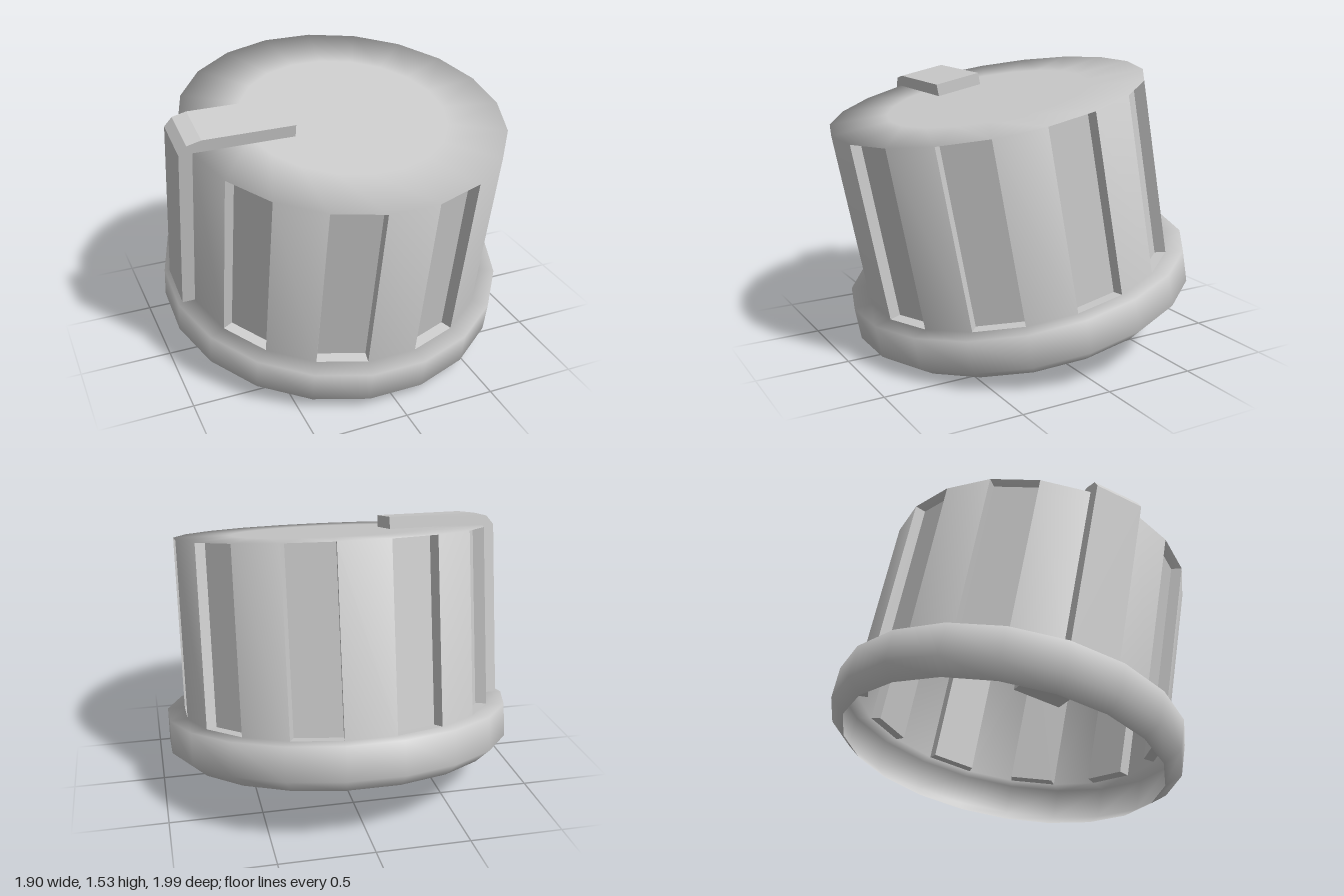
import * as THREE from 'three';

const SIDES = 20;
const STEP = (Math.PI * 2) / SIDES;
const R = 0.866;      // body radius at the corners
const TOP = 0.973;    // body height above the skirt
const DEPTH = 0.06;   // groove depth

const material = new THREE.MeshStandardMaterial({ color: 0xcccccc, side: THREE.DoubleSide });

function named(name, geometry) {
  const mesh = new THREE.Mesh(geometry, material);
  mesh.name = name;
  return mesh;
}

// Skirt, ridged wall and cap turned as one open shell; every other wall panel is left out
function shellGeometry() {
  const profile = [
    [0.88, -0.25], [0.962, -0.18], [0.962, 0], [R, 0], [R, TOP], [0.55, TOP], [0, TOP],
  ].map(([r, y]) => new THREE.Vector2(r, y));
  const geometry = new THREE.LatheGeometry(profile, SIDES, -STEP / 2);
  const rows = profile.length - 1;
  const wallRow = 3;
  const index = Array.from(geometry.index.array).filter((_, n) => {
    const quad = Math.floor(n / 6);
    const panel = Math.floor(quad / rows);
    return !(quad % rows === wallRow && panel % 2 === 1);
  });
  geometry.setIndex(index);
  return geometry;
}

// One groove: recessed floor, two side walls and a ledge at the foot
function grooveGeometry() {
  const corner = (r, side, y) => [r * Math.sin(side * STEP / 2), y, r * Math.cos(side * STEP / 2)];
  const inner = R - DEPTH;
  const quads = [
    [corner(inner, -1, 0), corner(inner, 1, 0), corner(inner, 1, TOP), corner(inner, -1, TOP)],
    [corner(R, -1, 0), corner(inner, -1, 0), corner(inner, -1, TOP), corner(R, -1, TOP)],
    [corner(inner, 1, 0), corner(R, 1, 0), corner(R, 1, TOP), corner(inner, 1, TOP)],
    [corner(R, -1, 0), corner(R, 1, 0), corner(inner, 1, 0), corner(inner, -1, 0)],
  ];
  const points = quads.flatMap(([a, b, c, d]) => [a, b, c, a, c, d]).flat();
  const geometry = new THREE.BufferGeometry();
  geometry.setAttribute('position', new THREE.Float32BufferAttribute(points, 3));
  geometry.computeVertexNormals();
  return geometry;
}

// Pointer block with a rounded outer shoulder, running down through the body
function pointerGeometry() {
  const outline = [
    [-0.925, 0], [-0.32, 0], [-0.32, 1.04], [-0.81, 1.04], [-0.885, 1.02], [-0.925, 0.97],
  ].map(([x, y]) => new THREE.Vector2(x, y));
  const geometry = new THREE.ExtrudeGeometry(new THREE.Shape(outline), { depth: 0.27, bevelEnabled: false });
  geometry.translate(0, 0, -0.135);
  return geometry;
}

export function createModel() {
  const model = new THREE.Group();
  model.name = 'controlKnob';

  // The whole knob leans forward
  const knob = new THREE.Group();
  knob.name = 'tiltedKnob';
  knob.rotation.x = 0.192;
  knob.position.set(0, 0.412, -0.035);
  model.add(knob);

  knob.add(named('shell', shellGeometry()));

  const grooves = new THREE.Group();
  grooves.name = 'gripGrooves';
  const geometry = grooveGeometry();
  for (let i = 1; i < SIDES; i += 2) {
    const groove = named('gripGroove', geometry);
    groove.rotation.y = i * STEP;
    grooves.add(groove);
  }
  knob.add(grooves);

  knob.add(named('pointer', pointerGeometry()));
  return model;
}
